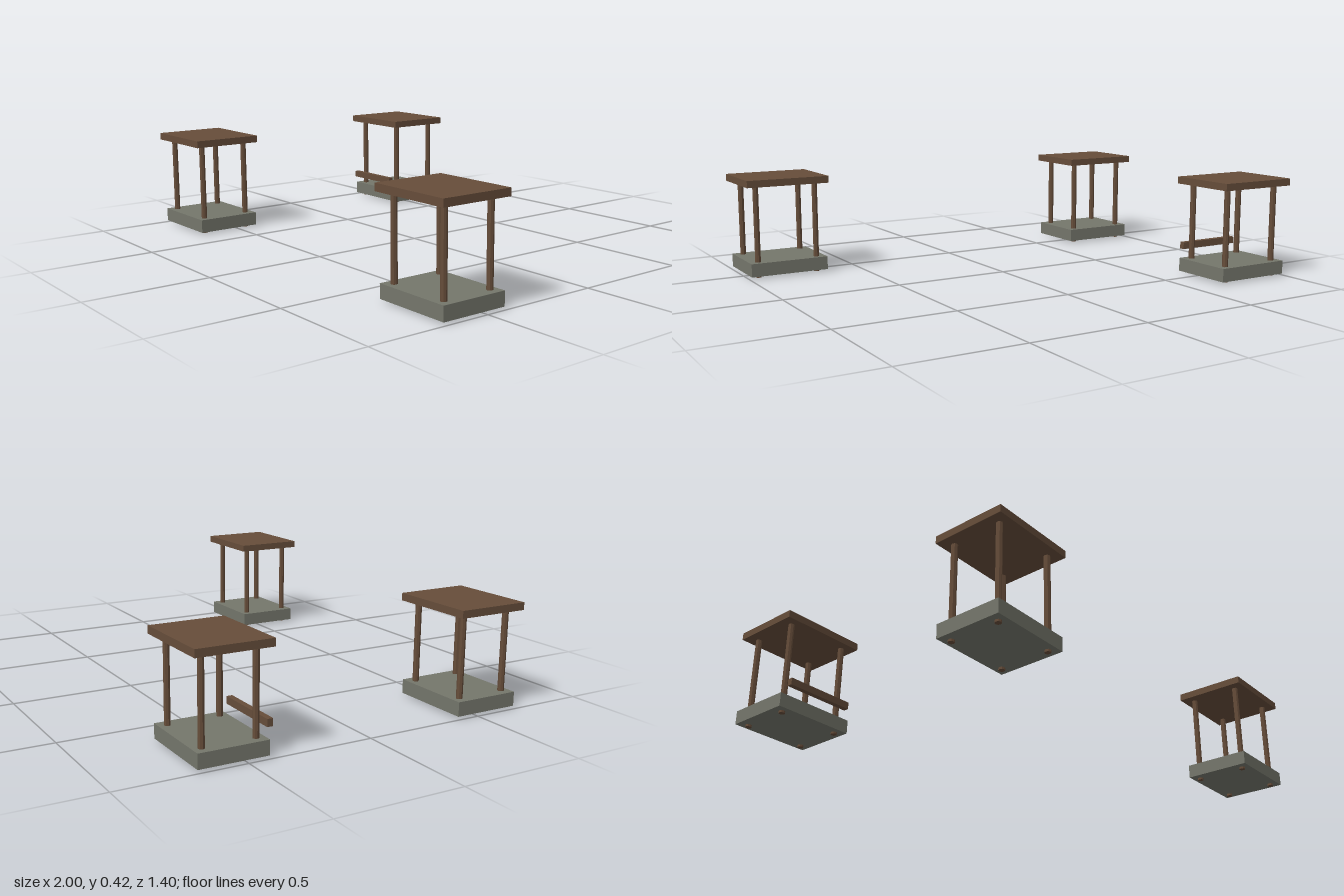
import * as THREE from 'three';

export function createModel() {
  const model = new THREE.Group();
  model.name = 'shelters';

  const wood = new THREE.MeshStandardMaterial({ color: 0x664d3a, flatShading: true });
  wood.name = 'brown wood';
  const stone = new THREE.MeshStandardMaterial({ color: 0x74766b, flatShading: true });
  stone.name = 'grey stone';

  const add = (parent, name, geometry, material, x, y, z) => {
    const mesh = new THREE.Mesh(geometry, material);
    mesh.name = name;
    mesh.position.set(x, y, z);
    parent.add(mesh);
  };

  const baseGeometry = new THREE.BoxGeometry(0.34, 0.057, 0.275);
  const roofGeometry = new THREE.BoxGeometry(0.36, 0.03, 0.3);
  const postGeometry = new THREE.CylinderGeometry(0.0125, 0.0125, 0.4, 8);

  // One open shelter: slab, four posts, flat roof
  const makeShelter = (name, x, z) => {
    const shelter = new THREE.Group();
    shelter.name = name;
    shelter.position.set(x, 0, z);
    add(shelter, 'base', baseGeometry, stone, 0, 0.0375, 0);
    add(shelter, 'roof', roofGeometry, wood, 0, 0.407, 0);
    for (const sx of [-1, 1]) {
      for (const sz of [-1, 1]) {
        add(shelter, 'post', postGeometry, wood, sx * 0.131, 0.2, sz * 0.104);
      }
    }
    model.add(shelter);
    return shelter;
  };

  makeShelter('frontRightShelter', -0.82, 0.55);
  makeShelter('frontLeftShelter', 0.82, 0.55);
  const back = makeShelter('backRightShelter', -0.82, -0.55);

  // Low rail in front of the back shelter
  add(back, 'rail', new THREE.BoxGeometry(0.29, 0.029, 0.023), wood, 0, 0.116, 0.152);

  return model;
}
